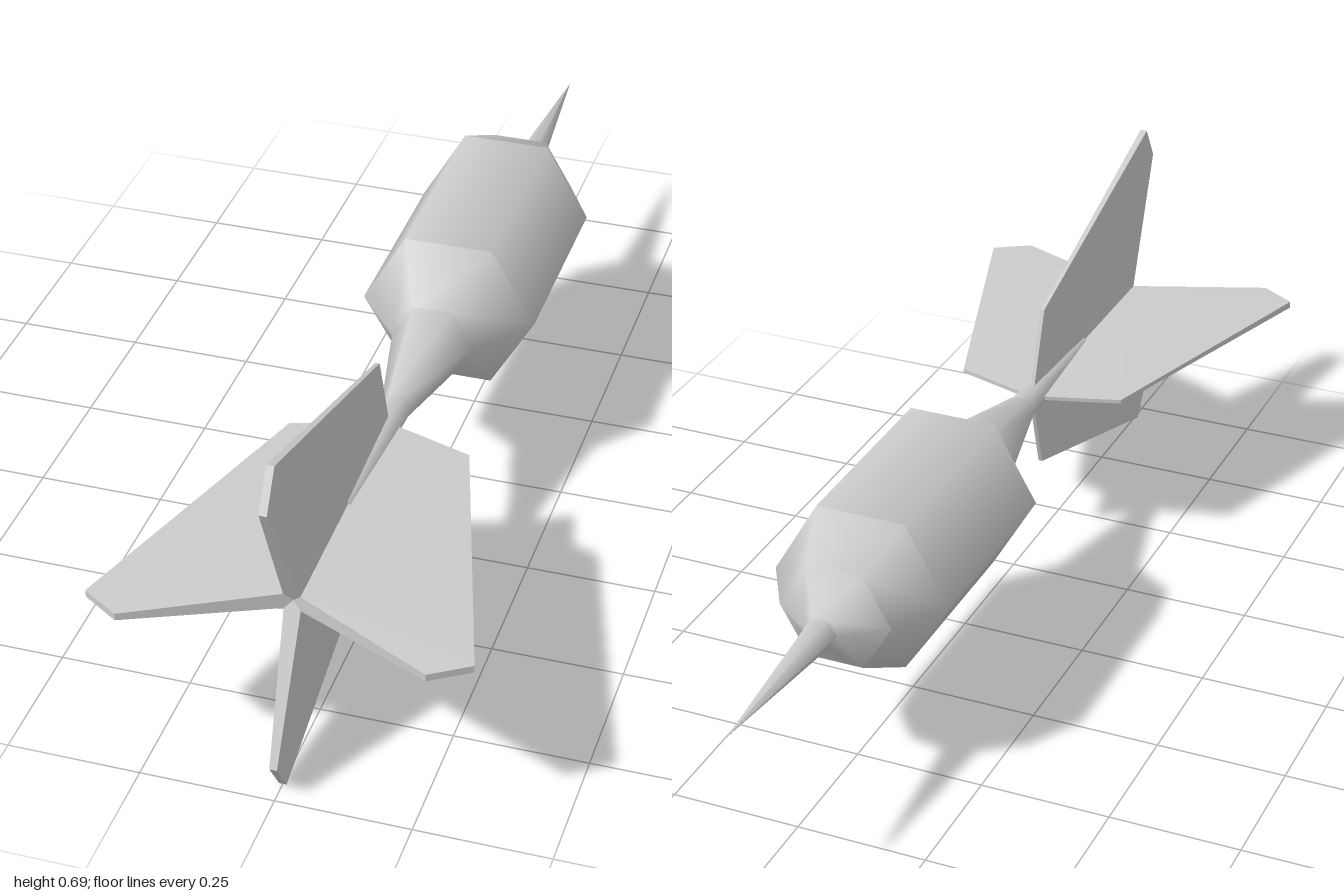
import * as THREE from 'three';

const material = new THREE.MeshStandardMaterial({ color: 0xcccccc });

// Six-sided section along z, smooth around the axis, sharp at the rings
function section(name, z0, r0, z1, r1, open = true) {
  const geo = new THREE.CylinderGeometry(r1, r0, z1 - z0, 6, 1, open, Math.PI / 2);
  geo.rotateX(Math.PI / 2);
  geo.translate(0, 0, (z0 + z1) / 2);
  const mesh = new THREE.Mesh(geo, material);
  mesh.name = name;
  return mesh;
}

// Flat-faced fin: outline points are [radius, z, half thickness]
function finGeometry() {
  const outline = [
    [0, 0.87, 0.016], // rear root
    [0, 0.335, 0.004], // front root
    [0.173, 0.39, 0.004], // shoulder
    [0.346, 0.955, 0.007], // outer tip
    [0.275, 1.0, 0.007], // trailing corner
  ];
  const n = outline.length;
  const pos = [];
  const add = (i, side) => {
    const [r, z, t] = outline[i % n];
    pos.push(r, side * t, z);
  };
  // Broad faces, fanned from the rear root
  for (let i = 1; i < n - 1; i++) {
    add(0, -1); add(i, -1); add(i + 1, -1);
    add(0, 1); add(i + 1, 1); add(i, 1);
  }
  // Rim
  for (let i = 0; i < n; i++) {
    add(i, -1); add(i, 1); add(i + 1, 1);
    add(i, -1); add(i + 1, 1); add(i + 1, -1);
  }
  const geo = new THREE.BufferGeometry();
  geo.setAttribute('position', new THREE.Float32BufferAttribute(pos, 3));
  geo.computeVertexNormals();
  return geo;
}

export function createModel() {
  const dart = new THREE.Group();
  dart.name = 'dart';

  // Needle, barrel and shaft, from the point backwards
  dart.add(
    section('needle', -1, 0, -0.64, 0.032),
    section('noseFront', -0.64, 0.032, -0.58, 0.11),
    section('noseRear', -0.58, 0.11, -0.47, 0.173),
    section('barrel', -0.47, 0.173, -0.06, 0.173),
    section('barrelTaper', -0.06, 0.173, 0.05, 0.081),
    section('neck', 0.05, 0.081, 0.28, 0.03),
    section('shaft', 0.28, 0.03, 0.6, 0.02, false),
  );

  // Four fins around the tail
  const flight = new THREE.Group();
  flight.name = 'flight';
  const geo = finGeometry();
  for (let i = 0; i < 4; i++) {
    const fin = new THREE.Mesh(geo, material);
    fin.name = 'fin';
    fin.rotation.z = (i * Math.PI) / 2;
    flight.add(fin);
  }
  dart.add(flight);

  dart.position.y = 0.346;
  const model = new THREE.Group();
  model.add(dart);
  return model;
}
